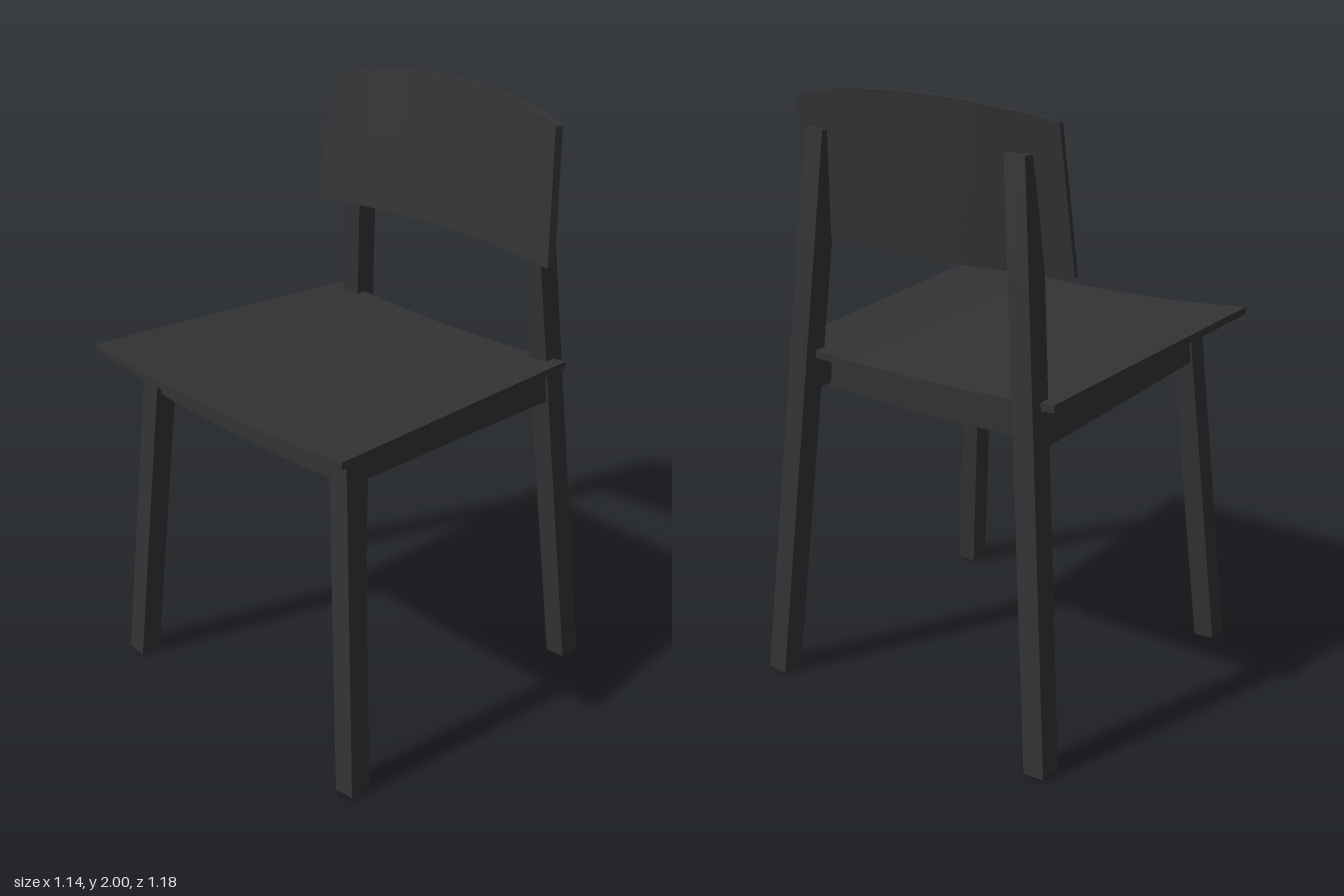
import * as THREE from 'three';

const material = new THREE.MeshStandardMaterial({ color: 0x333333 });

// A box whose unit coordinates u, v, w (-0.5 to 0.5) are moved by a rule
function bentBox(name, segments, rule) {
  const geometry = new THREE.BoxGeometry(1, 1, 1, segments, 1, 1);
  const p = geometry.attributes.position;
  for (let i = 0; i < p.count; i++) {
    p.setXYZ(i, ...rule(p.getX(i), p.getY(i), p.getZ(i)));
  }
  geometry.computeVertexNormals();
  const mesh = new THREE.Mesh(geometry, material);
  mesh.name = name;
  return mesh;
}

const lerp = THREE.MathUtils.lerp;

// Dished seat surface: rises to the sides and slopes down to the back
const seatTop = (x, z) => 1.183 + 0.028 * (x / 0.57) ** 2 - 0.042 * (0.595 - z);
const seatUnder = (x, z) => seatTop(x, z) - 0.025;

// Splayed legs: the centre line in x is shared by front and rear legs
const legX = (y) => 0.536 - 0.088 * y;

export function createModel() {
  const chair = new THREE.Group();
  chair.name = 'chair';

  // Seat board, narrower at the back
  chair.add(bentBox('seat', 32, (u, v, w) => {
    const z = lerp(-0.475, 0.592, w + 0.5);
    const x = 2 * u * lerp(0.518, 0.572, w + 0.5);
    return [x, v > 0 ? seatTop(x, z) : seatUnder(x, z), z];
  }));

  // Curved, leaning backrest with an arched top edge
  chair.add(bentBox('backrest', 32, (u, v, w) => {
    const t = 2 * u;
    const top = 2 - 0.055 * t * t;
    const y = v > 0 ? top : 1.51;
    const half = v > 0 ? 0.48 : 0.512;
    const slope = 0.27 * t;
    const depth = 0.026 * (0.5 - w);
    const front = -0.425 + 0.07 * t * t - 0.088 * (y - 1.51);
    return [half * t + slope * depth, y, front - depth];
  }));

  for (const s of [1, -1]) {
    const side = s > 0 ? 'left' : 'right';

    // Front leg, stopping under the seat
    chair.add(bentBox(side + 'FrontLeg', 1, (u, v, w) => {
      const low = 0.003 + 0.006 * (u * s + 0.5);
      const z0 = lerp(0.475, 0.552, w + 0.5);
      const x = (y) => s * legX(y) + 0.072 * u;
      const zTop = z0 - 0.077;
      const y = v > 0 ? seatUnder(x(1.17), zTop) + 0.008 : low;
      return [x(y), y, z0 - 0.066 * y];
    }));

    // Rear leg, running up behind the backrest and tapering there
    chair.add(bentBox(side + 'RearLeg', 1, (u, v, w) => {
      const y = v > 0 ? 1.51 : 0.003 + 0.006 * (u * s + 0.5);
      const z = lerp(-0.592, -0.512, w + 0.5) + 0.066 * y;
      return [s * legX(y) + 0.072 * u, y, z];
    }));
    chair.add(bentBox(side + 'RearLegTop', 1, (u, v, w) => {
      const y = v > 0 ? 1.855 : 1.51;
      const front = v > 0 ? -0.428 : -0.412;
      const z = w > 0 ? front : -0.592 + 0.066 * y;
      return [s * legX(y) + 0.072 * u, y, z];
    }));

    // Side rail between front and rear leg
    chair.add(bentBox(side + 'Rail', 1, (u, v, w) => {
      const z = lerp(-0.445, 0.41, w + 0.5);
      const x = (y) => s * legX(y) + 0.055 * u;
      const y = v > 0 ? seatUnder(x(1.15), z) + 0.006 : 1.03 + 0.036 * z;
      return [x(y), y, z];
    }));
  }

  // Front and rear rails, their lower edges bowed like the seat
  for (const [name, zMid, bottom] of [['frontRail', 0.435, 1.03], ['rearRail', -0.362, 0.99]]) {
    chair.add(bentBox(name, 24, (u, v, w) => {
      const z = zMid + 0.055 * w;
      const half = v > 0 ? 0.41 : 0.42;
      const x = 2 * half * u;
      const y = v > 0 ? seatUnder(x, z) + 0.006 : bottom + 0.014 * (2 * u) ** 2;
      return [x, y, z];
    }));
  }

  return chair;
}
